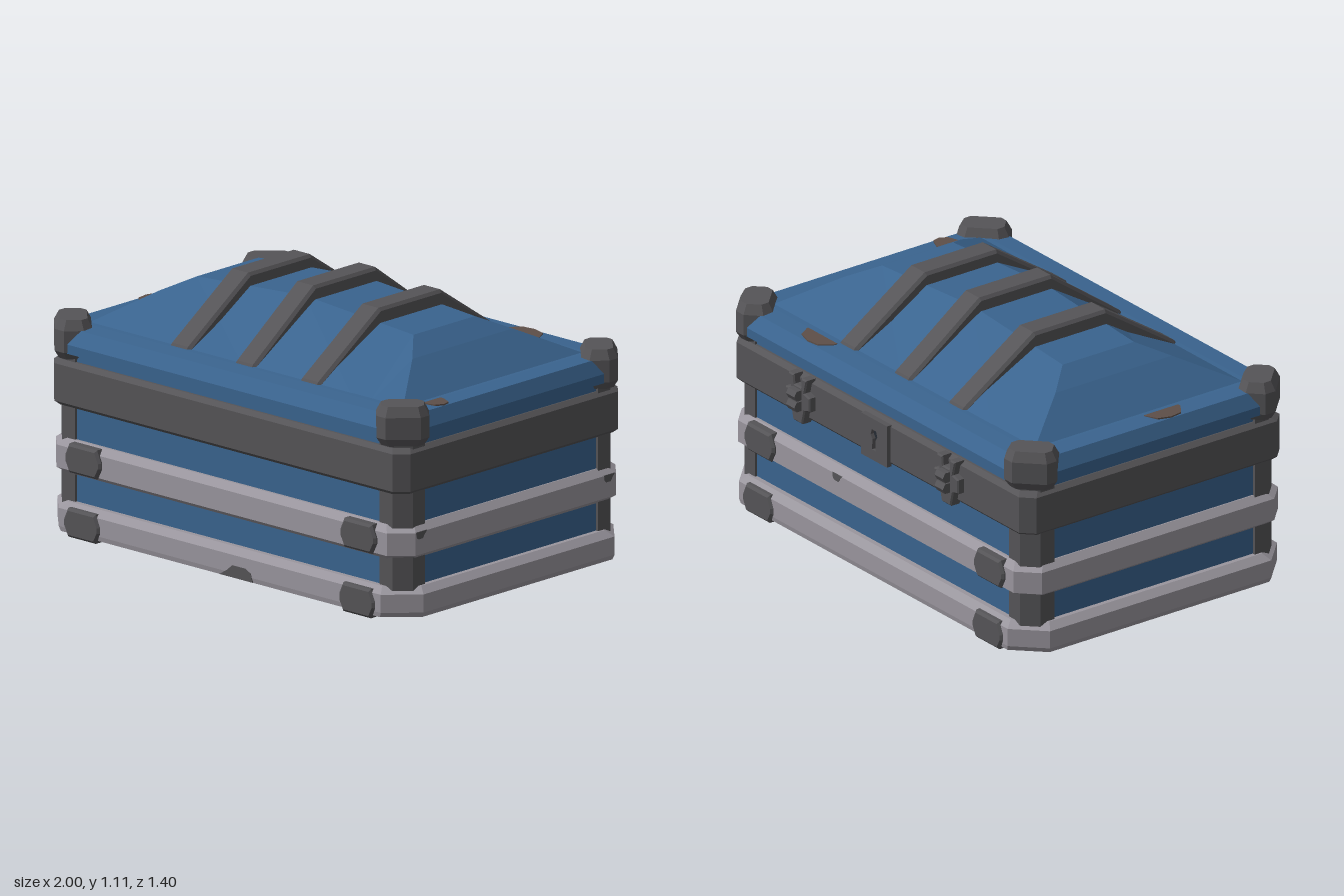
import * as THREE from 'three';

const mat = (name, color, flatShading = true) => {
  const m = new THREE.MeshStandardMaterial({ color, flatShading });
  m.name = name;
  return m;
};

export function createModel() {
  const blue = mat('blue panel', 0x3a648f);
  const grey = mat('light metal', 0x9a969e);
  const dark = mat('dark metal', 0x555457);
  const rust = mat('rust', 0x5e4f48);
  const black = mat('keyhole shadow', 0x252b33);

  const model = new THREE.Group();
  model.name = 'chest';
  const chest = new THREE.Group();
  chest.name = 'chestParts';
  chest.position.z = 0.022;
  model.add(chest);

  const add = (name, geometry, material, x = 0, y = 0, z = 0, ry = 0) => {
    const mesh = new THREE.Mesh(geometry, material);
    mesh.name = name;
    mesh.position.set(x, y, z);
    mesh.rotation.y = ry;
    chest.add(mesh);
    return mesh;
  };

  const build = (pos, idx) => {
    const g = new THREE.BufferGeometry();
    g.setAttribute('position', new THREE.Float32BufferAttribute(pos, 3));
    g.setIndex(idx);
    const flat = g.toNonIndexed();
    flat.computeVertexNormals();
    return flat;
  };

  // closed solid through stacked horizontal outlines; points turn from +x to +z
  const loft = (rings) => {
    const n = rings[0].pts.length, pos = [], idx = [];
    rings.forEach(({ y, pts }) => pts.forEach(([x, z]) => pos.push(x, y, z)));
    for (let r = 0; r < rings.length - 1; r++) {
      for (let i = 0; i < n; i++) {
        const a = r * n + i, b = r * n + (i + 1) % n;
        idx.push(a, a + n, b + n, a, b + n, b);
      }
    }
    const top = (rings.length - 1) * n;
    for (let i = 1; i < n - 1; i++) idx.push(0, i, i + 1, top, top + i + 1, top + i);
    return build(pos, idx);
  };

  // rectangle with cut corners
  const octagon = (hx, hz, c) => [
    [hx, -hz + c], [hx, hz - c], [hx - c, hz], [-hx + c, hz],
    [-hx, hz - c], [-hx, -hz + c], [-hx + c, -hz], [hx - c, -hz],
  ];
  const band = (rows) => loft(rows.map(([y, hx, hz, c]) => ({ y, pts: octagon(hx, hz, c) })));

  const plate = (pts, depth, bevel = 0, hole) => {
    const s = new THREE.Shape(pts.map(([x, y]) => new THREE.Vector2(x, y)));
    if (hole) s.holes.push(hole);
    return new THREE.ExtrudeGeometry(s, {
      depth, bevelEnabled: bevel > 0, bevelSize: bevel, bevelThickness: bevel, bevelOffset: -bevel, bevelSegments: 1,
    });
  };

  // body and its bands
  add('body', band([[0.05, 0.945, 0.618, 0.09], [0.738, 0.945, 0.618, 0.09]]), blue);
  add('baseBand', band([
    [0.015, 0.99, 0.668, 0.12], [0.035, 0.998, 0.672, 0.12],
    [0.11, 0.998, 0.672, 0.12], [0.135, 0.965, 0.64, 0.11],
  ]), grey);
  add('middleBand', band([
    [0.25, 0.95, 0.63, 0.08], [0.272, 0.98, 0.66, 0.08],
    [0.365, 0.98, 0.66, 0.08], [0.392, 0.95, 0.63, 0.08],
  ]), grey);
  add('upperBand', band([
    [0.525, 0.955, 0.635, 0.05], [0.54, 0.972, 0.65, 0.05],
    [0.695, 0.972, 0.65, 0.05], [0.712, 0.95, 0.628, 0.05],
  ]), dark);

  // corner posts and lid corner guards
  const post = [[0.958, 0.5], [0.958, 0.57], [0.9, 0.628], [0.83, 0.628], [0.83, 0.5]];
  for (const sx of [-1, 1]) {
    for (const sz of [-1, 1]) {
      const pts = post.map(([x, z]) => [x * sx, z * sz]);
      if (sx * sz < 0) pts.reverse();
      add('cornerPost', loft([{ y: 0.1, pts }, { y: 0.725, pts }]), dark);
      add('lidCorner', band([
        [0.722, 0.085, 0.058, 0.03], [0.755, 0.105, 0.075, 0.035],
        [0.845, 0.105, 0.075, 0.035], [0.885, 0.085, 0.055, 0.025],
      ]), dark, sx * 0.898, 0, sz * 0.567, sx * sz * Math.PI / 4);
    }
  }

  // bevelled clips on front and back
  const clip = [[-0.098, 0.01], [-0.098, -0.015], [-0.075, -0.06], [0.075, -0.06],
    [0.098, -0.015], [0.098, 0.01], [0.075, 0.06], [-0.075, 0.06]];
  for (const x of [-0.75, 0.75]) {
    for (const [y, z] of [[0.062, 0.627], [0.327, 0.62]]) {
      add('frontClip', plate(clip, 0.045, 0.01), dark, x, y, z);
      add('backClip', plate(clip, 0.045, 0.01), dark, x, y, -z, Math.PI);
    }
  }

  // lid rim
  add('lidRim', band([
    [0.738, 0.95, 0.625, 0.08], [0.752, 0.985, 0.66, 0.08], [0.79, 0.985, 0.66, 0.08],
    [0.845, 0.95, 0.622, 0.08], [0.85, 0.87, 0.54, 0.04],
  ]), blue);

  // hipped lid top: cross-sections along x
  const half = [[0.865, 0.532, 0.842], [0.69, 0.29, 0.965], [0.59, 0.178, 1.02]];
  const stations = [...half.map(([x, z, y]) => [-x, z, y]), [0, 0.176, 1.06], ...half.slice().reverse()];
  const pos = [], idx = [];
  stations.forEach(([x, z, y], i) => {
    pos.push(x, 0.842, -0.532, x, y, -z, x, y, z, x, 0.842, 0.532);
    if (i === stations.length - 1) return;
    for (let j = 0; j < 3; j++) {
      const a = i * 4 + j;
      idx.push(a, a + 1, a + 5, a, a + 5, a + 4);
    }
  });
  add('lidTop', build(pos, idx), blue);

  // ribs over the lid
  for (const [x, top] of [[-0.355, 1.092], [0, 1.112], [0.355, 1.092]]) {
    const ribShape = [[-0.54, 0.835], [0.54, 0.835], [0.525, 0.86], [0.178, top], [-0.178, top], [-0.525, 0.86]];
    const g = plate(ribShape, 0.086, 0.012);
    g.translate(0, 0, -0.043);
    g.rotateY(Math.PI / 2);
    add('lidRib', g, dark, x);
  }

  // latches on the back
  const latchHalf = [[0.03, -0.1], [0.045, -0.04], [0.08, -0.03], [0.08, 0.03], [0.045, 0.04], [0.06, 0.1], [0.025, 0.1], [0.02, 0.06]];
  const latch = [...latchHalf, ...latchHalf.map(([x, y]) => [-x, y]).reverse()];
  for (const x of [-0.485, 0.485]) {
    add('latchPlate', plate(latch, 0.04, 0.006), dark, x, 0.615, -0.635, Math.PI);
    for (const y of [0.595, 0.643]) {
      add('latchKnob', new THREE.CylinderGeometry(0.024, 0.024, 0.055, 6).rotateZ(Math.PI / 2), dark, x, y, -0.693);
    }
    add('latchStem', new THREE.BoxGeometry(0.04, 0.08, 0.03), dark, x, 0.619, -0.685);
  }

  // lock plate with a keyhole
  const keyPts = [[-0.012, -0.045], [0.012, -0.045], [0.01, 0], [0.022, 0.018], [0.014, 0.042],
    [-0.014, 0.042], [-0.022, 0.018], [-0.01, 0]];
  const keyhole = new THREE.Path(keyPts.map(([x, y]) => new THREE.Vector2(x, y)));
  add('lockPlate', plate([[-0.085, -0.09], [0.085, -0.09], [0.085, 0.09], [-0.085, 0.09]], 0.024, 0, keyhole),
    dark, 0, 0.612, -0.645, Math.PI);
  add('keyhole', plate(keyPts, 0.004), black, 0, 0.612, -0.649, Math.PI);

  // rust patches on the lid rim
  const blot = [[-0.09, 0.03], [-0.06, -0.02], [0, -0.038], [0.06, -0.03], [0.1, 0.02], [0.1, 0.036], [-0.09, 0.036]];
  for (const [x, z, turn, s] of [[0.5, -0.582, Math.PI, 1], [-0.912, 0.09, -Math.PI / 2, 0.9], [0.912, 0.38, Math.PI / 2, 0.55]]) {
    const g = plate(blot, 0.006).rotateX(-Math.PI / 2);
    g.scale(s, 1, 1);
    add('rustPatch', g, rust, x, 0.846, z, turn);
  }

  // worn chips on the metal bands
  const chip = [[-0.09, -0.025], [0.09, -0.025], [0.08, 0.01], [0.05, 0.025], [-0.02, 0.025], [-0.05, 0]];
  add('baseChip', plate(chip, 0.004), dark, 0.09, 0.042, 0.67);
  for (const [x, y, z, ry] of [[0.978, 0.352, 0.545, Math.PI / 2], [0.978, 0.352, -0.54, Math.PI / 2], [0.25, 0.352, -0.658, Math.PI]]) {
    const g = plate(chip, 0.004).rotateZ(Math.PI);
    g.scale(0.35, 0.6, 1);
    add('bandChip', g, dark, x, y, z, ry);
  }

  return model;
}
